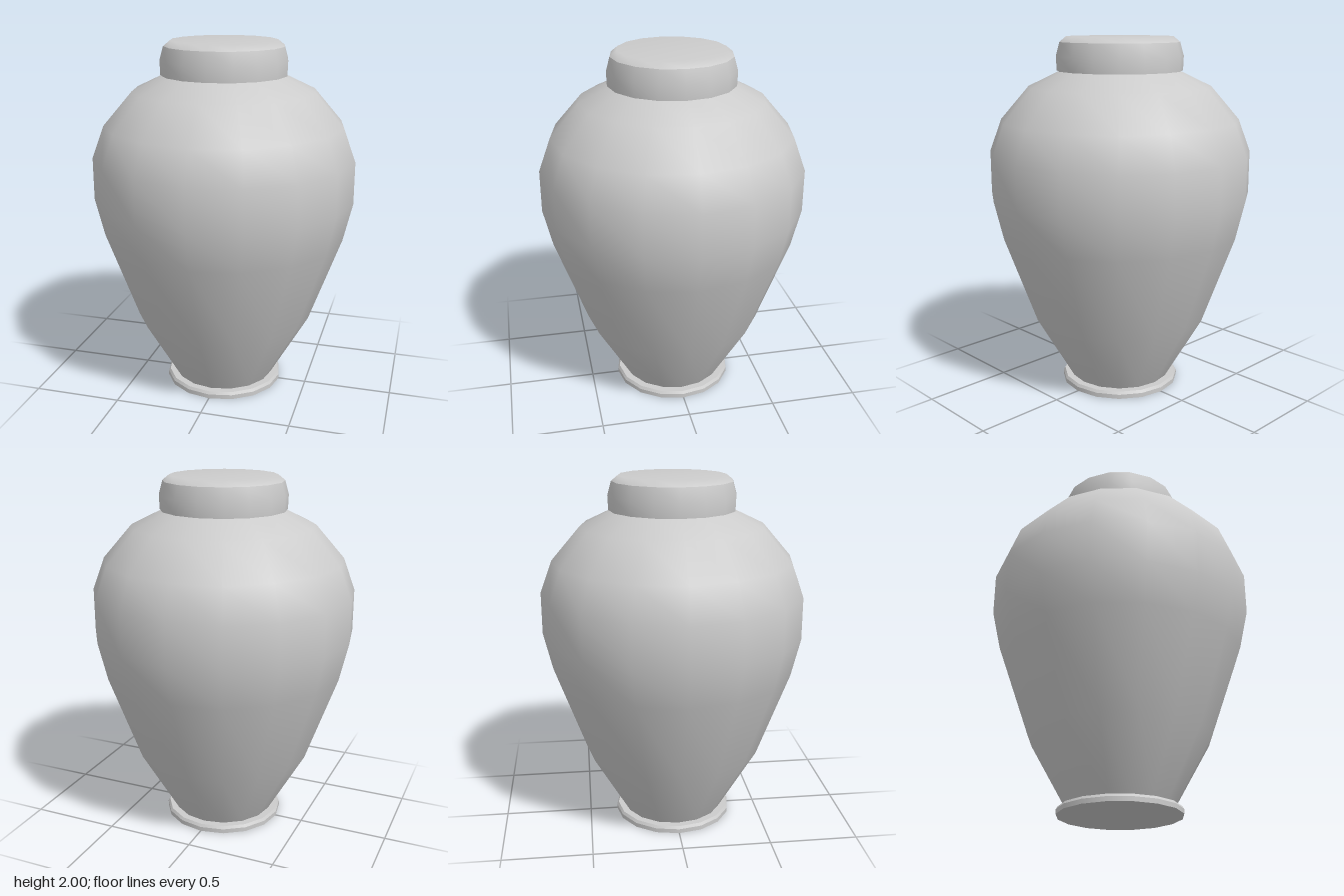
import * as THREE from 'three';

const SIDES = 16;
const material = new THREE.MeshStandardMaterial({ color: 0xcccccc });

// Smooth 16-sided surface of revolution from [radius, height] pairs, listed bottom to top
function turned(name, profile) {
  const points = profile.map(([r, y]) => new THREE.Vector2(r, y));
  const mesh = new THREE.Mesh(new THREE.LatheGeometry(points, SIDES), material);
  mesh.name = name;
  return mesh;
}

// Group of turned bands that meet at sharp edges
function banded(name, bands) {
  const group = new THREE.Group();
  group.name = name;
  for (const [bandName, profile] of Object.entries(bands)) group.add(turned(bandName, profile));
  return group;
}

export function createModel() {
  const jar = new THREE.Group();
  jar.name = 'lidded jar';

  // Foot: thin disc with a small chamfer
  jar.add(banded('foot', {
    footUnderside: [[0, 0], [0.34, 0]],
    footRim: [[0.34, 0], [0.34, 0.025]],
    footChamfer: [[0.34, 0.025], [0.33, 0.04]],
    footTop: [[0.33, 0.04], [0, 0.04]],
  }));

  // Body: narrow base swelling to high, rounded shoulders
  jar.add(turned('body', [
    [0.29, 0.04], [0.505, 0.415], [0.685, 0.915], [0.735, 1.13],
    [0.735, 1.365], [0.668, 1.545], [0.508, 1.73], [0.33, 1.815],
  ]));

  // Lid: slightly tapered collar with a softly rounded top
  jar.add(banded('lid', {
    lidUnderside: [[0, 1.815], [0.35, 1.815]],
    lidWall: [[0.35, 1.815], [0.353, 1.895], [0.332, 1.97]],
    lidTop: [[0.332, 1.97], [0.295, 2], [0, 2]],
  }));

  return jar;
}
